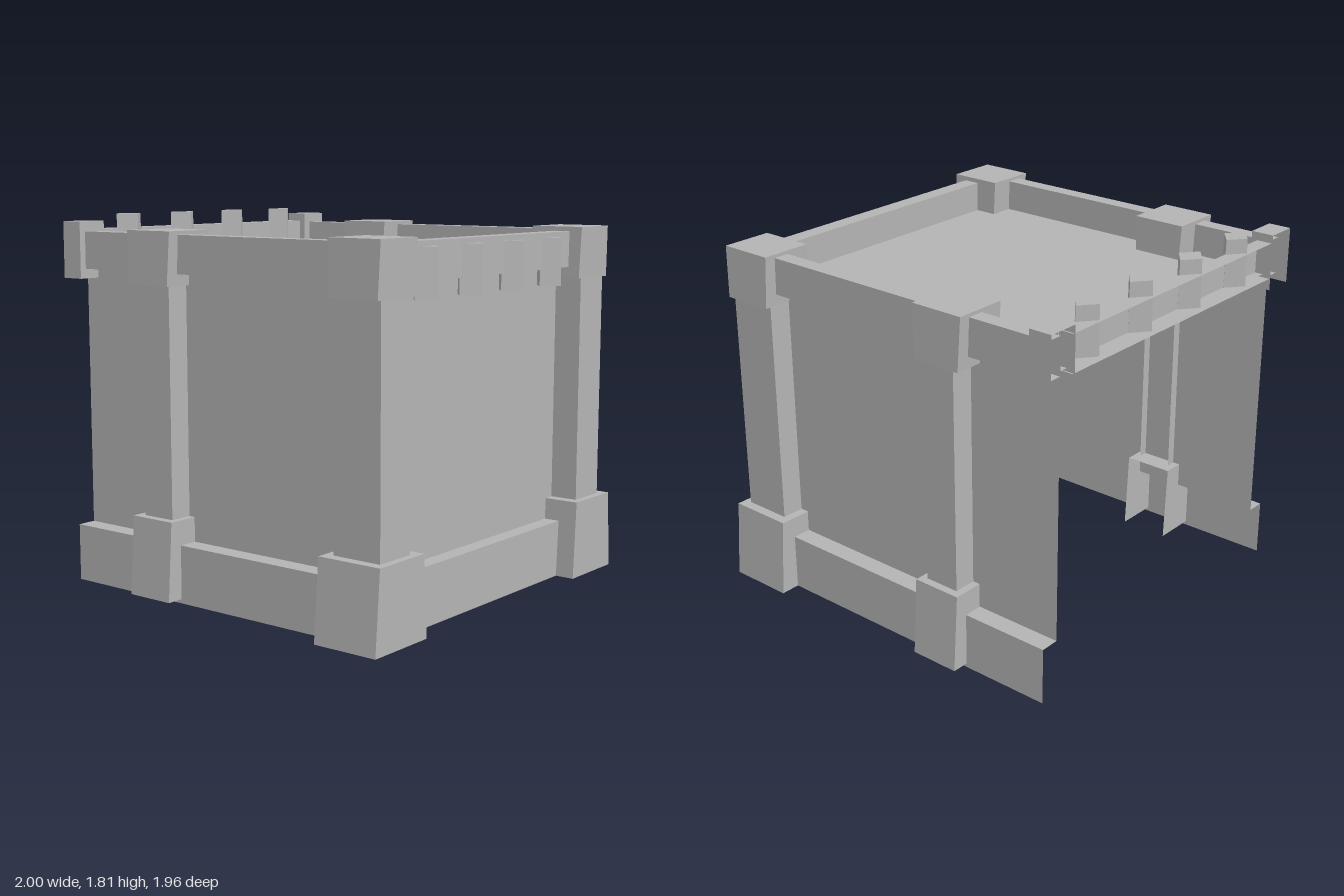
import * as THREE from 'three';

const stone = new THREE.MeshStandardMaterial({ color: 0xb4b4b4, side: THREE.DoubleSide });
stone.name = 'stone grey';

// Corner order: 0-3 bottom, 4-7 top, each running (x0,z0) (x1,z0) (x1,z1) (x0,z1)
const FACES = {
  bottom: [0, 1, 2, 3],
  top: [7, 6, 5, 4],
  back: [1, 0, 4, 5],
  front: [3, 2, 6, 7],
  plusX: [2, 1, 5, 6],
  minusX: [0, 3, 7, 4],
};

// Six-sided block between a bottom and a top rectangle [x0, x1, z0, z1]; faces in `open` are left out
function block(low, high, y0, y1, open = []) {
  const ring = ([x0, x1, z0, z1], y) => [[x0, y, z0], [x1, y, z0], [x1, y, z1], [x0, y, z1]];
  const c = [...ring(low, y0), ...ring(high, y1)];
  const pos = [];
  for (const [name, [a, b, d, e]] of Object.entries(FACES)) {
    if (open.includes(name)) continue;
    for (const i of [a, b, d, a, d, e]) pos.push(...c[i]);
  }
  const g = new THREE.BufferGeometry();
  g.setAttribute('position', new THREE.Float32BufferAttribute(pos, 3));
  g.computeVertexNormals();
  return g;
}

export function createModel() {
  const model = new THREE.Group();
  model.name = 'openBackedHall';

  const add = (name, geometry) => {
    const mesh = new THREE.Mesh(geometry, stone);
    mesh.name = name;
    model.add(mesh);
    return mesh;
  };
  const box = (name, rect, y0, y1, open) => add(name, block(rect, rect, y0, y1, open));

  const WALL = 0.805, BACK = -0.94, LEDGE = 0.28, ROOF = 1.575;

  // Roof panel and front wall as thin sheets
  box('roof', [-WALL, WALL, BACK, WALL], ROOF, ROOF, ['bottom', 'back', 'front', 'plusX', 'minusX']);
  box('frontWall', [-WALL, WALL, WALL, WALL], LEDGE, 1.56, ['back', 'top', 'bottom', 'plusX', 'minusX']);

  // Front plinth and top beam
  box('frontPlinth', [-0.8, 0.8, WALL, 0.885], 0, LEDGE, ['back', 'bottom', 'plusX', 'minusX']);
  box('frontBeam', [-0.7, 0.7, WALL, 0.89], 1.55, 1.725);

  // Everything that repeats on both sides
  for (const s of [1, -1]) {
    const side = s > 0 ? 'left' : 'right';
    const inner = s > 0 ? 'minusX' : 'plusX';
    const outer = s > 0 ? 'plusX' : 'minusX';
    const rect = (x0, x1, z0, z1) => (s > 0 ? [x0, x1, z0, z1] : [-x1, -x0, z0, z1]);

    box(side + 'Wall', rect(WALL, WALL, BACK, WALL), LEDGE, 1.56,
      [inner, 'top', 'bottom', 'front', 'back']);
    box(side + 'Plinth', rect(WALL, 0.9, BACK, 0.8), 0, LEDGE, [inner, 'bottom', 'front', 'back']);
    box(side + 'Beam', rect(WALL, 0.885, BACK, 0.75), 1.55, 1.73, ['back']);

    // Front corner column with flared base and cap
    add(side + 'CornerBase', block(rect(0.63, 1, 0.65, 0.982), rect(0.652, 0.97, 0.65, 0.982),
      0, 0.385, ['bottom']));
    box(side + 'CornerColumn', rect(0.707, 0.92, 0.695, 0.945), 0.36, 1.52);
    add(side + 'CornerCap', block(rect(0.678, 0.95, 0.69, 0.95), rect(0.684, 0.942, 0.682, 0.958),
      1.495, 1.747));

    // Middle column, hollow towards the inside
    add(side + 'MiddleBase', block(rect(0.68, 0.985, -0.49, -0.24), rect(0.7, 0.96, -0.49, -0.24),
      0.02, 0.4, ['bottom', inner]));
    box(side + 'MiddleColumn', rect(0.757, 0.92, -0.452, -0.273), 0.38, 1.52, [inner, 'bottom', 'top']);
    add(side + 'MiddleCap', block(rect(0.678, 0.95, -0.505, -0.255), rect(0.684, 0.942, -0.517, -0.243),
      1.495, 1.747, ['bottom']));

    // Small hollow cap at each end of the back beam
    box(side + 'BackCap', rect(0.762, 0.918, -0.982, -0.866), 1.503, 1.777, ['back', 'bottom']);
  }

  // Back beam: a channel open to the rear
  box('backBeam', [-0.77, 0.77, -0.977, -0.897], 1.56, 1.737, ['back', 'plusX', 'minusX']);

  // Diamond-shaped studs along the front and back beams
  const studs = (name, xs, z, y0, y1, depth) => {
    for (const x of xs) {
      const g = new THREE.CylinderGeometry(0.081, 0.085, y1 - y0, 4, 1).toNonIndexed();
      g.scale(1, 1, depth / 0.085);
      g.computeVertexNormals();
      add(name, g).position.set(x, (y0 + y1) / 2, z);
    }
  };
  studs('frontStud', [-0.52, -0.178, 0.164, 0.505], 0.885, 1.47, 1.7, 0.067);
  studs('backStud', [-0.562, -0.183, 0.197, 0.577], -0.9, 1.575, 1.808, 0.067);

  return model;
}
